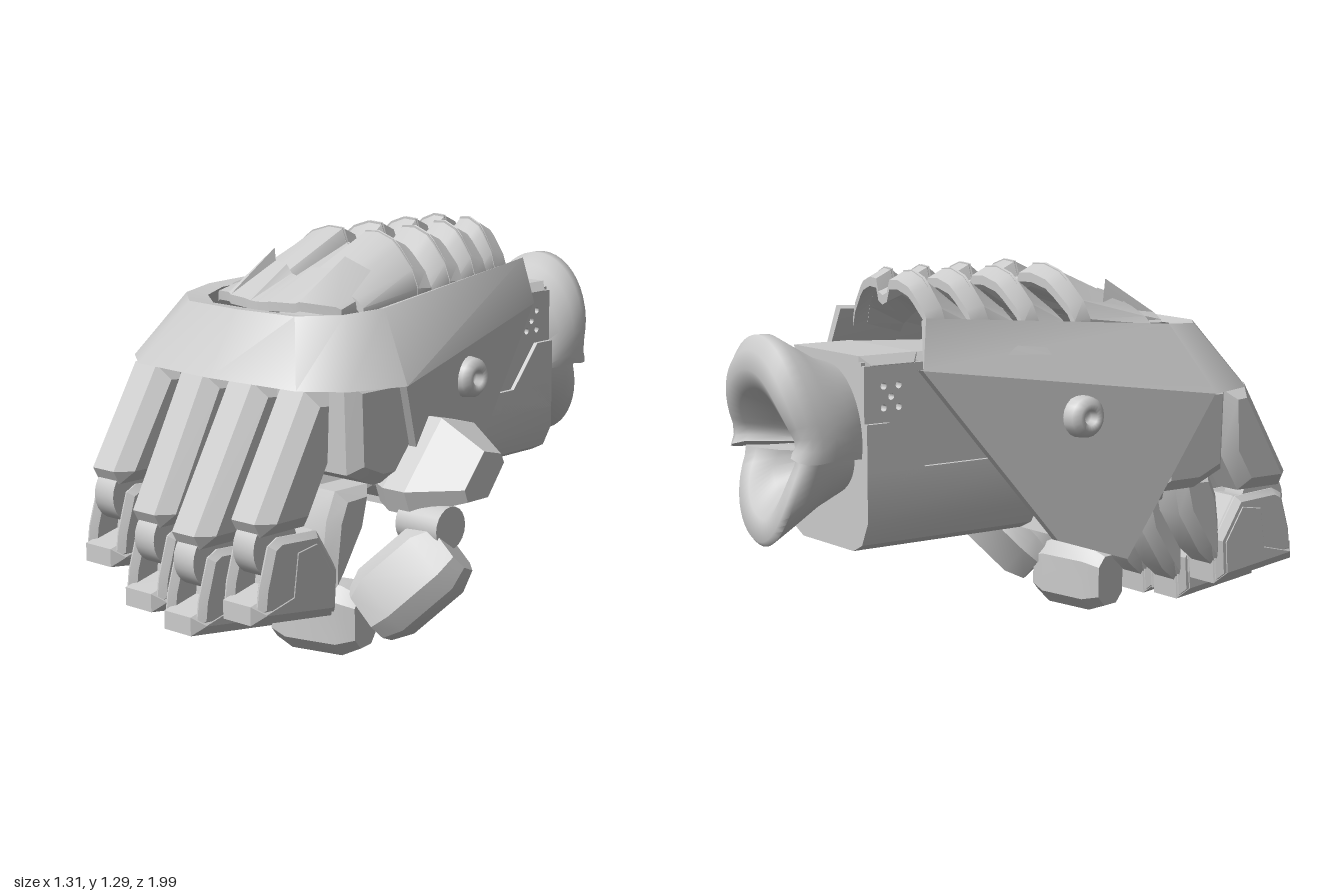
import * as THREE from 'three';
import { toCreasedNormals } from 'three/addons/utils/BufferGeometryUtils.js';

const mat = new THREE.MeshStandardMaterial({ color: 0xcccccc, side: THREE.DoubleSide });
const CX = -0.095; // centre line of the arm

function add(parent, name, geo, x = 0, y = 0, z = 0) {
  const m = new THREE.Mesh(geo, mat);
  m.name = name;
  m.position.set(x, y, z);
  parent.add(m);
  return m;
}

// Closed solid through equal-length rings of [x, y, z]; turned outward by its signed volume.
function loft(rings, crease = 0.5) {
  const tris = [], n = rings[0].length, last = rings[rings.length - 1];
  for (let i = 0; i + 1 < rings.length; i++)
    for (let j = 0; j < n; j++) {
      const k = (j + 1) % n, a = rings[i], b = rings[i + 1];
      tris.push([a[j], a[k], b[k]], [a[j], b[k], b[j]]);
    }
  for (let j = 1; j + 1 < n; j++)
    tris.push([rings[0][0], rings[0][j + 1], rings[0][j]], [last[0], last[j], last[j + 1]]);
  const v = (p) => new THREE.Vector3(...p);
  const vol = tris.reduce((s, [a, b, c]) => s + v(a).dot(v(b).cross(v(c))), 0);
  if (vol < 0) tris.forEach((t) => t.reverse());
  const g = new THREE.BufferGeometry();
  g.setAttribute('position', new THREE.Float32BufferAttribute(tris.flat(2), 3));
  return toCreasedNormals(g, crease);
}

// Side outline of [z, y] points given a width along x, with chamfered edges.
function slab(pts, width, bevel = 0, holes = []) {
  const shape = new THREE.Shape(pts.map((p) => new THREE.Vector2(...p)));
  holes.forEach(([z, y, r]) => shape.holes.push(new THREE.Path().absarc(z, y, r, 0, Math.PI * 2, true)));
  const g = new THREE.ExtrudeGeometry(shape, {
    depth: width - 2 * bevel, bevelEnabled: bevel > 0, bevelThickness: bevel,
    bevelSize: bevel, bevelOffset: -bevel, bevelSegments: 1, curveSegments: 10,
  });
  g.translate(0, 0, -(width - 2 * bevel) / 2);
  g.rotateY(-Math.PI / 2);
  return toCreasedNormals(g, 0.4);
}

// Chamfered block running from a to b; w is measured along the hint direction.
function block(a, b, w, d, hint) {
  const A = new THREE.Vector3(...a), B = new THREE.Vector3(...b), H = new THREE.Vector3(...hint);
  const dir = B.clone().sub(A).normalize();
  const U = H.clone().addScaledVector(dir, -dir.dot(H)).normalize();
  const V = dir.clone().cross(U);
  const oct = [[1, .5], [.6, 1], [-.6, 1], [-1, .5], [-1, -.5], [-.6, -1], [.6, -1], [1, -.5]];
  return loft([[0, .75], [.2, 1], [.8, 1], [1, .78]].map(([t, s]) => oct.map(([p, q]) =>
    A.clone().lerp(B, t).addScaledVector(U, p * s * w / 2).addScaledVector(V, q * s * d / 2).toArray())));
}

const mirrorProfile = (half) => [...half.map(([u, v]) => [-u, v]), ...half.slice(0, -1).reverse()];
const RIB = mirrorProfile([[1, 0], [.9, .35], [.68, .74], [.58, .88], [.36, 1], [.17, .98], [.11, .7], [0, .63]]);
const COLLAR = mirrorProfile([[1, 0], [.95, .4], [.57, 1], [.52, .7], [.2, .7], [.1, .5], [0, .45]]);

// Arched plate: low front edge at zf, raised back edge at zb; edges may bow along z.
function archPlate({ profile = RIB, w, zf, zb, yf, yb, hf, hb, bowF = 0, bowB = 0 }) {
  const t = .03;
  return loft(profile.map(([u, v]) => {
    const x = u * w, f = zf - bowF * u * u, b = zb - bowB * u * u;
    const y1 = yf + hf * v, y2 = yb + hb * v;
    return [[x, y1 - t, f], [x, y2 - t, b], [x, y2, b], [x, y1, f]];
  }));
}

// Flared cushion: a padded [z, rx, ry, cy] profile swept over an arc, shorter towards its sides.
function cushion(profile, from, to) {
  const rings = [];
  for (let i = 0; i <= 28; i++) {
    const a = THREE.MathUtils.degToRad(from + (to - from) * i / 28);
    const reach = 1 - .22 * (1 - Math.abs(Math.sin(a))) ** 2;
    rings.push(profile.map(([z, rx, ry, cy]) => [Math.cos(a) * rx, cy + Math.sin(a) * ry, -.7 + (z + .7) * reach]));
  }
  return loft(rings, 1.1);
}

function addShell(arm) {
  // Collar band: top x,y,z / widest x,y,z / inner x,z
  const half = [
    [.26, 1.16, -.51, .29, 1.0, -.54, .235, -.51],
    [.40, 1.10, .36, .56, .88, .43, .355, .34],
    [.36, 1.09, .50, .49, .88, .62, .31, .45],
    [.24, 1.085, .60, .36, .88, .72, .20, .53],
  ];
  const mirrored = half.map((s) => s.map((n, i) => (i === 0 || i === 3 || i === 6 ? -n : n))).reverse();
  add(arm, 'shellBand', loft([...half, [0, 1.085, .62, 0, .88, .745, 0, .54], ...mirrored].map(
    ([tx, ty, tz, wx, wy, wz, ix, iz]) => [
      [tx, ty, tz], [wx, wy, wz], [wx + (ix - wx) * .25, wy, wz + (iz - wz) * .25], [ix, ty - .01, iz]])));

  for (const s of [1, -1]) {
    // Leaning side plate
    const g = slab([[-.54, 1.0], [.43, .88], [.17, .34], [-.07, .42]], .03);
    const p = g.attributes.position;
    for (let i = 0; i < p.count; i++)
      p.setX(i, p.getX(i) + s * (.332 + .29 * p.getZ(i) + .095 * p.getY(i)));
    add(arm, 'sidePlate', toCreasedNormals(g, .4));
    // Domed stud with a dimple
    const stud = new THREE.LatheGeometry([[.07, 0], [.065, .04], [.045, .06], [.025, .055], [.02, .03], [0, .03]]
      .map((q) => new THREE.Vector2(...q)), 20);
    add(arm, 'sideStud', stud, s * .415, .83, -.02).rotation.z = -s * Math.PI / 2;
  }
}

function addForearm(arm) {
  add(arm, 'innerCore', slab([[-.53, 1.05], [.45, 1.0], [.45, .8], [-.3, .65], [-.53, .8]], .42, .03));
  // Lower cuff with wide bottom chamfers, stepped cheeks above it
  const cuff = [[.235, .69], [.235, .53], [.2, .455], [.15, .43], [-.15, .43], [-.2, .455], [-.235, .53], [-.235, .69]];
  add(arm, 'lowerCuff', loft([-.715, -.05].map((z) => cuff.map(([x, y]) => [x, y, z]))));
  for (const s of [1, -1])
    add(arm, 'cuffCheek', slab([[-.715, .84], [-.63, .84], [-.5, .69], [-.26, .69], [-.2, .6], [-.715, .6]], .03), s * .22);
  // Hollow sleeve with vent holes
  const holes = [[0, 0], [1, 1], [1, -1], [-1, 1], [-1, -1]].map(([i, j]) => [-.615 + i * .028, .92 + j * .034, .011]);
  for (const s of [1, -1])
    add(arm, 'sleeveWall', slab([[-.715, 1.02], [-.3, 1.02], [-.2, .66], [-.715, .66]], .025, 0, holes), s * .207);
  add(arm, 'sleeveTop', slab([[-.715, 1.05], [-.5, 1.05], [-.5, .99], [-.715, .99]], .44, .029));
  add(arm, 'sleeveBack', slab([[-.715, 1.03], [-.69, 1.03], [-.69, .66], [-.715, .66]], .41));
  // Two-part padded cuff at the rear
  const upper = [[-.70, .04, .04, .76], [-.70, .20, .24, .77], [-.78, .235, .255, .78],
    [-.86, .242, .29, .79], [-.92, .24, .325, .79], [-.96, .23, .325, .79], [-.99, .21, .28, .79],
    [-1.0, .18, .22, .79], [-.97, .145, .16, .79], [-.86, .11, .11, .78]];
  const lower = [[-.70, .03, .03, .72], [-.70, .16, .12, .72], [-.80, .17, .18, .73],
    [-.90, .185, .25, .735], [-.955, .185, .285, .735], [-.97, .165, .27, .735], [-.955, .12, .2, .735],
    [-.88, .08, .11, .73]];
  add(arm, 'upperCushion', cushion(upper, -10, 190));
  add(arm, 'lowerCushion', cushion(lower, 178, 362));
}

function addRibs(arm) {
  const backs = [.02, -.17, -.34, -.485], widths = [.31, .285, .25, .22];
  backs.forEach((zb, i) => {
    add(arm, 'backRib', archPlate({
      w: widths[i], zf: zb + (i ? .2 : .34), zb: zb + .04, yf: 1.09, yb: 1.125, hf: i ? .085 : .07, hb: .17, bowB: -.03,
    }));
    // Rolled lip on the back edge of each rib
    add(arm, 'ribLip', archPlate({
      w: widths[i] * 1.01, zf: zb + .05, zb: zb - .015, yf: 1.125, yb: 1.12, hf: .17, hb: .145, bowB: -.03, bowF: -.03,
    }));
  });
  add(arm, 'frontCollar', archPlate({
    profile: COLLAR, w: .28, zf: .53, zb: .34, yf: 1.09, yb: 1.1, hf: .02, hb: .135, bowF: .1, bowB: .17,
  }));
}

function addHand(root, arm) {
  add(arm, 'palmBlock', slab([[.58, .9], [.57, .6], [.45, .55], [.28, .55], [.28, .9]], .94, .04));
  add(arm, 'palmWedge', slab([[-.06, .43], [.1, .4], [.4, .5], [.43, .62], [.3, .75], [0, .7]], .72, .03));
  add(arm, 'palmRidge', slab([[.08, .39], [.2, .41], [.2, .5], [.08, .5]], .6, .03));

  // Fingers: x, vertical and forward shift of the curled part
  for (const [x, dy, dz] of [[-.44, .055, -.06], [-.215, -.045, -.03], [.005, -.07, .005], [.23, 0, -.035]]) {
    const f = new THREE.Group();
    f.name = 'finger';
    f.position.x = x;
    root.add(f);
    const sh = (pts) => pts.map(([z, y]) => [z + dz, y + dy]);
    const cheek = [[.92, .43], [.88, .45], [.71, .44], [.62, .30], [.63, .16], [.97, .22], [.96, .3]];
    add(f, 'upperSegment', slab([[.59, .87], [.70, .88], ...sh([[.955, .5], [.93, .455], [.74, .455]]), [.6, .64]], .19, .045));
    add(f, 'middleSegment', slab(sh([[.84, .42], [.71, .44], [.62, .3], [.63, .145], [.985, .19], [.985, .25], [.86, .28]]), .19, .035));
    for (const s of [1, -1]) add(f, 'jointCheek', slab(sh(cheek), .045, .02), s * .07);
    const wheel = new THREE.CylinderGeometry(.095, .095, .09, 24).rotateZ(Math.PI / 2);
    add(f, 'jointWheel', toCreasedNormals(wheel, .5), 0, .41 + dy, .86 + dz);
    add(f, 'tipSegment', slab(sh([[.66, .3], [.64, .45], [.6, .54], [.45, .54], [.48, .4], [.57, .26], [.64, .2]]), .17, .035));
  }

  // Thumb, folded under the palm
  const thumb = new THREE.Group();
  thumb.name = 'thumb';
  root.add(thumb);
  const base = [[.43, .54], [.40, .46], [.21, .46], [.06, .65], [.09, .71], [.25, .75]];
  add(thumb, 'thumbBase', loft([[.3, .85], [.36, 1], [.45, 1], [.62, .52]].map(([x, s]) =>
    base.map(([z, y]) => [x, .575 + (y - .575) * s, .235 + (z - .235) * s])), .3));
  const joint = new THREE.CylinderGeometry(.07, .07, .17, 20).rotateZ(Math.PI / 2);
  add(thumb, 'thumbJoint', toCreasedNormals(joint, .5), .49, .43, .35);
  add(thumb, 'thumbMiddle', block([.57, .37, .34], [.37, .14, .5], .25, .2, [.77, -.63, 0]));
  add(thumb, 'thumbTip', block([.35, .12, .5], [.04, .115, .56], .23, .17, [0, 1, 0]));
}

export function createModel() {
  const root = new THREE.Group();
  root.name = 'gauntlet';
  const arm = new THREE.Group();
  arm.name = 'armBody';
  arm.position.x = CX;
  root.add(arm);
  addShell(arm);
  addForearm(arm);
  addRibs(arm);
  addHand(root, arm);
  return root;
}
